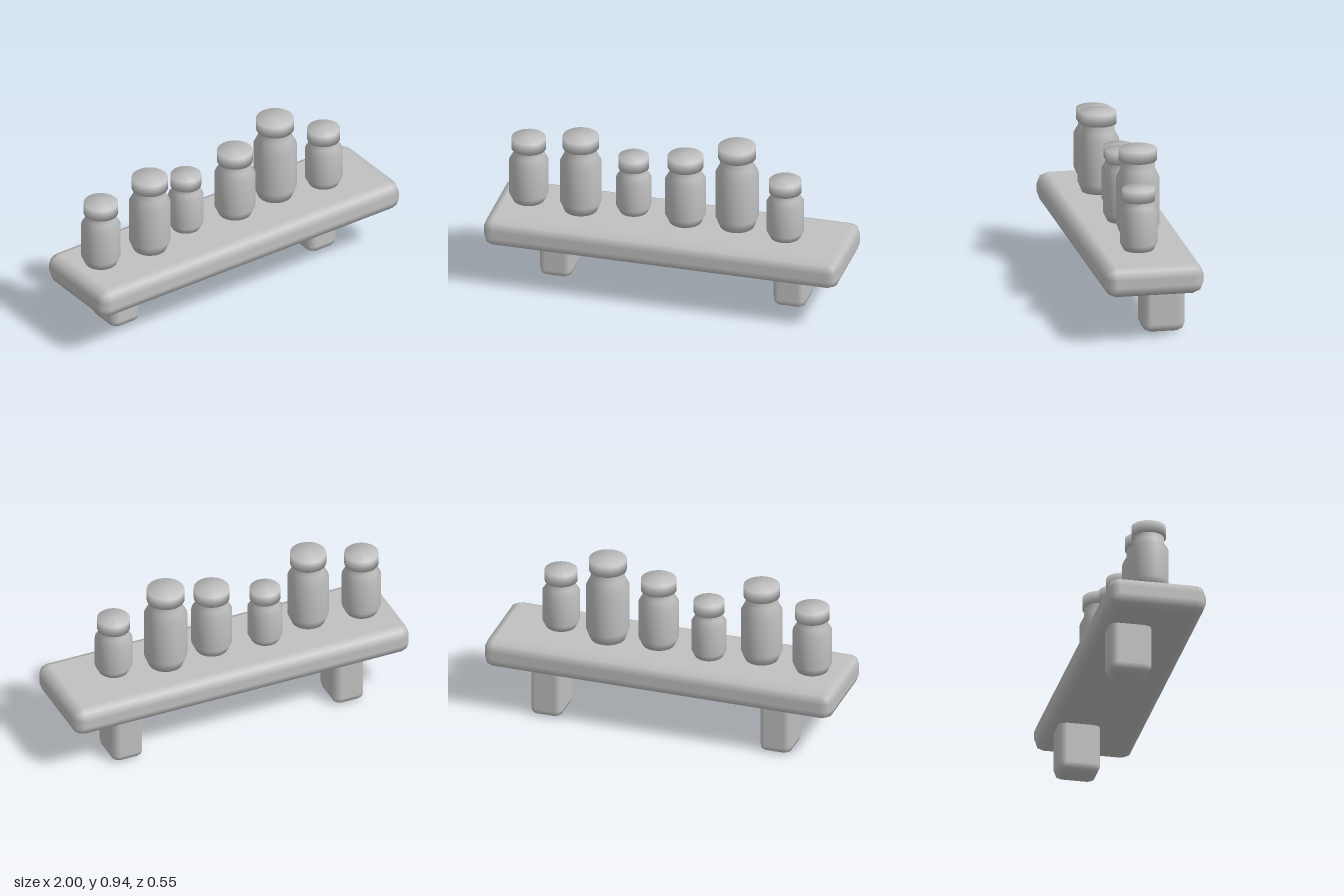
import * as THREE from 'three';

const clay = new THREE.MeshStandardMaterial({ color: 0xc0c0c0 });
clay.name = 'light grey';

// Box with softly bevelled edges: the middle cell of each face stays flat,
// the outer ring of vertices is pushed out along the 45 degree direction.
function bevelBox(name, size, bevel, centre) {
  const geo = new THREE.BoxGeometry(1, 1, 1, 3, 3, 3);
  const pos = geo.attributes.position;
  const nor = geo.attributes.normal;
  const p = new THREE.Vector3();
  const n = new THREE.Vector3();
  const bev = new THREE.Vector3(...bevel);
  const core = new THREE.Vector3(...size).multiplyScalar(0.5).sub(bev);
  const outer = (v) => (Math.abs(v) > 0.3 ? Math.sign(v) : 0);
  for (let i = 0; i < pos.count; i++) {
    p.fromBufferAttribute(pos, i);
    n.set(outer(p.x), outer(p.y), outer(p.z)).normalize();
    p.set(Math.sign(p.x), Math.sign(p.y), Math.sign(p.z)).multiply(core);
    p.add(n.clone().multiply(bev));
    pos.setXYZ(i, p.x, p.y, p.z);
    nor.setXYZ(i, n.x, n.y, n.z);
  }
  const mesh = new THREE.Mesh(geo, clay);
  mesh.name = name;
  mesh.position.set(...centre);
  return mesh;
}

function lathe(name, profile) {
  const points = profile.map(([r, y]) => new THREE.Vector2(r, y));
  const mesh = new THREE.Mesh(new THREE.LatheGeometry(points, 32), clay);
  mesh.name = name;
  return mesh;
}

// Jar with chamfered foot, sloping shoulder, straight neck and a wider lid
function jar(x, z, r, top) {
  const base = 0.452;
  const lid = 0.066;
  const h = top - base - lid;
  const group = new THREE.Group();
  group.name = 'jar';
  group.position.set(x, base, z);
  group.add(lathe('jarBody', [
    [0, 0], [r * 0.8, 0], [r, h * 0.145], [r, h * 0.77],
    [r * 0.79, h * 0.89], [r * 0.78, h + 0.005],
  ]));
  group.add(lathe('jarLid', [
    [0, h], [r * 0.875, h], [r * 0.875, h + lid], [0, h + lid],
  ]));
  return group;
}

export function createModel() {
  const model = new THREE.Group();
  model.name = 'shelfWithJars';

  model.add(bevelBox('shelfBoard', [2, 0.168, 0.545], [0.058, 0.062, 0.058], [0, 0.359, 0]));

  // Supports under the back half of the board
  for (const x of [-0.657, 0.657]) {
    model.add(bevelBox('support', [0.183, 0.36, 0.235], [0.038, 0.045, 0.045], [x, 0.18, -0.097]));
  }

  // x, z, radius, height of the lid top
  const jars = [
    [-0.81, -0.016, 0.107, 0.833],
    [-0.508, 0.018, 0.113, 0.901],
    [-0.226, -0.04, 0.096, 0.786],
    [0.075, -0.003, 0.111, 0.85],
    [0.359, -0.026, 0.118, 0.938],
    [0.645, 0.027, 0.102, 0.796],
  ];
  for (const j of jars) model.add(jar(...j));

  return model;
}
